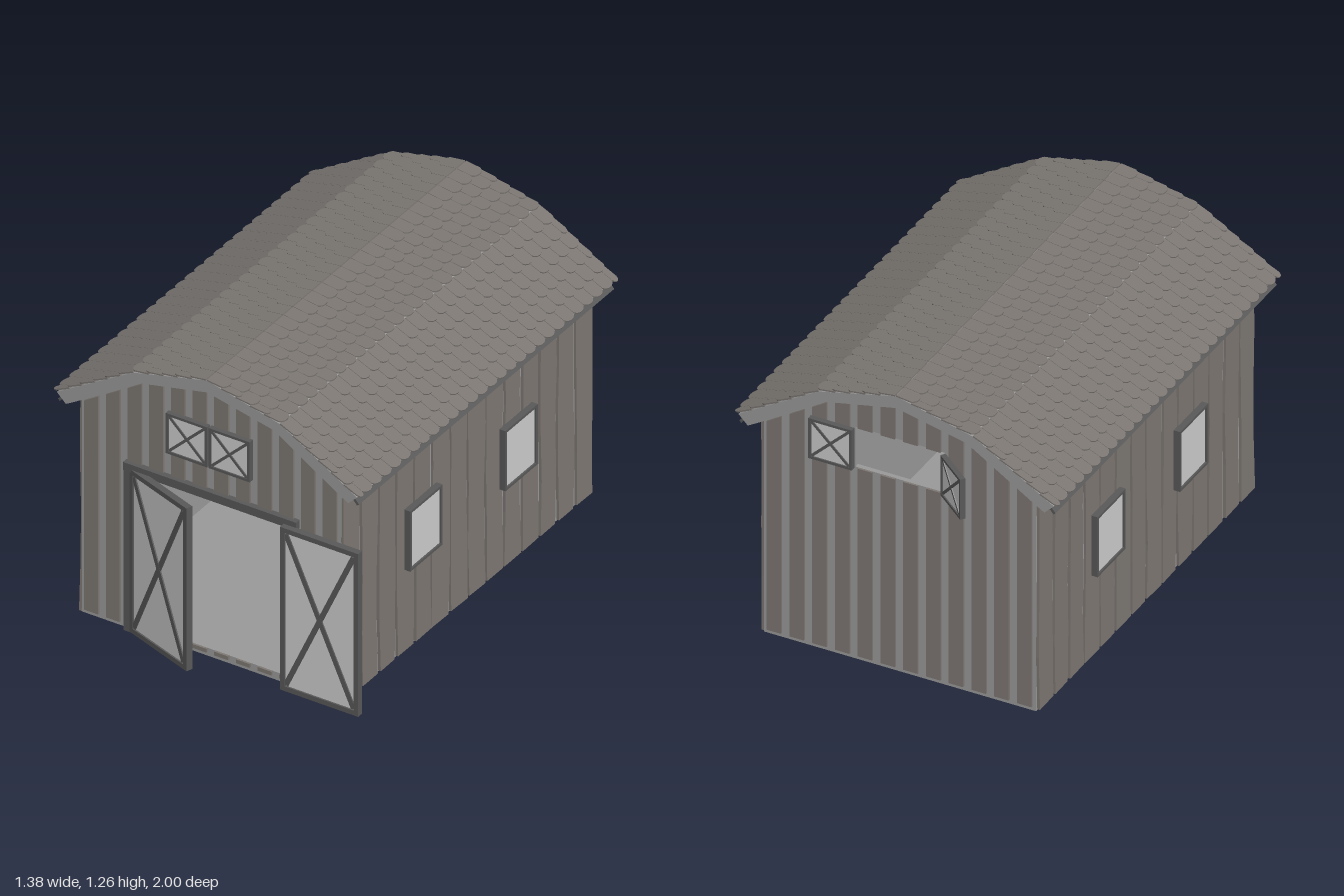
import * as THREE from 'three';
import { mergeGeometries } from 'three/addons/utils/BufferGeometryUtils.js';

const paint = (color) => new THREE.MeshStandardMaterial({ color });
const MAT = {
  wall: paint(0x999999), plank: paint(0x7d7772), trim: paint(0x585858),
  panel: paint(0xcccccc), shingle: paint(0x7a7571),
};

let seed = 7;
const rand = () => (seed = (seed * 16807) % 2147483647) / 2147483647;

function add(parent, name, geometry, material, x = 0, y = 0, z = 0) {
  const mesh = new THREE.Mesh(geometry, material);
  mesh.name = name;
  mesh.position.set(x, y, z);
  parent.add(mesh);
  return mesh;
}
const box = (w, h, d) => new THREE.BoxGeometry(w, h, d);
const polygon = (points) => new THREE.Shape(points.map(([x, y]) => new THREE.Vector2(x, y)));
const extrude = (shape, depth) =>
  new THREE.ExtrudeGeometry(shape, { depth, bevelEnabled: false, curveSegments: 6 });

function subgroup(parent, name) {
  const g = new THREE.Group();
  g.name = name;
  parent.add(g);
  return g;
}

// Underside height of the roof at a given x
function under(x) {
  const a = Math.abs(x);
  return a < 0.3 ? 1.205 - (a / 0.3) * 0.065 : 1.14 - ((a - 0.3) / 0.29) * 0.185;
}

// Framed panel, hinged on its left edge, with optional cross braces on both faces
function framedPanel(parent, name, w, h, t, bar, braced) {
  const g = subgroup(parent, name);
  add(g, 'panel', box(w - bar, h - bar, t * 0.5), MAT.panel, w / 2, h / 2);
  for (const x of [bar / 2, w - bar / 2]) add(g, 'stile', box(bar, h, t), MAT.trim, x, h / 2);
  for (const y of [bar / 2, h - bar / 2]) add(g, 'rail', box(w - 2 * bar, bar, t), MAT.trim, w / 2, y);
  if (braced) {
    const dx = w - 2 * bar, dy = h - 2 * bar;
    for (const s of [-1, 1]) {
      const brace = add(g, 'brace', box(Math.hypot(dx, dy) - bar * 0.6, bar, t * (s > 0 ? 0.86 : 0.9)),
        MAT.trim, w / 2, h / 2);
      brace.rotation.z = s * Math.atan2(dy, dx);
    }
  }
  return g;
}

// Gable wall facing +z, with a rectangular opening and raised planks
function gableWall(parent, name, hole) {
  const g = subgroup(parent, name);
  const shape = polygon([[-0.58, 0], [0.58, 0], [0.58, 0.97], [0.3, 1.15], [0, 1.215], [-0.3, 1.15], [-0.58, 0.97]]);
  const { hw, y0, y1 } = hole;
  shape.holes.push(new THREE.Path([[-hw, y0], [-hw, y1], [hw, y1], [hw, y0]].map((p) => new THREE.Vector2(...p))));
  add(g, 'wallCore', extrude(shape, 0.02), MAT.wall, 0, 0, 0.843);
  const planks = [];
  const strip = (x, bottom, top) => {
    const l = x - 0.031, r = x + 0.031;
    planks.push(extrude(polygon([[l, bottom], [r, bottom], [r, top ?? under(r) - 0.015], [l, top ?? under(l) - 0.015]]), 0.01));
  };
  for (let k = 0; k < 12; k++) {
    const x = (k - 5.5) * 0.097;
    if (Math.abs(x) < hw) {
      strip(x, 0.018, y0);
      strip(x, y1);
    } else strip(x, 0.018);
  }
  add(g, 'planks', mergeGeometries(planks), MAT.plank, 0, 0, 0.862);
  return g;
}

// Long wall facing local +z, with uneven planks and two windows
function sideWall(parent, name) {
  const g = subgroup(parent, name);
  add(g, 'wallCore', box(1.72, 0.965, 0.02), MAT.wall, 0, 0.4825, 0.57);
  const planks = [], pitch = 0.124;
  for (let i = 0; i < 14; i++) {
    const right = [], left = [];
    for (let j = 0; j <= 4; j++) {
      const y = 0.004 + j * 0.24;
      right.push([pitch / 2 - 0.001 - rand() * 0.014, y]);
      left.unshift([-pitch / 2 + 0.001 + rand() * 0.014, y]);
    }
    const plank = extrude(polygon([...right, ...left]), 0.012);
    plank.rotateY((rand() - 0.5) * 0.06);
    planks.push(plank.translate((i - 6.5) * pitch, 0, 0.579));
  }
  add(g, 'planks', mergeGeometries(planks), MAT.plank);
  for (const x of [-0.33, 0.33]) {
    framedPanel(g, 'window', 0.224, 0.27, 0.03, 0.011, false).position.set(x - 0.112, 0.37, 0.603);
  }
  return g;
}

// Rows of round-ended shingles on one slope running from a (upper) to b (lower)
function shingleSlope(parent, side, a, b, rows) {
  const cols = 27, w = 1.8 / cols, step = Math.hypot(b[0] - a[0], b[1] - a[1]) / (rows + 0.25);
  const len = step * 1.25, h = w * 0.485, curve = 0.018;
  const shape = new THREE.Shape();
  shape.moveTo(h, 0);
  shape.lineTo(-h, 0);
  shape.lineTo(-h, -len + curve);
  shape.quadraticCurveTo(-h * 0.7, -len, 0, -len);
  shape.quadraticCurveTo(h * 0.7, -len, h, -len + curve);
  const shingle = extrude(shape, 0.006).rotateX(-0.11);
  const parts = [];
  for (let r = 0; r < rows; r++) {
    const odd = r % 2;
    for (let c = 0; c < cols + odd; c++) {
      const half = odd && (c === 0 || c === cols);
      let x = (c - (cols - 1 + odd) / 2) * w;
      if (half) x -= Math.sign(x) * w / 4;
      parts.push(shingle.clone().scale(half ? 0.5 : 1, 1, 1).translate(x, -r * step, 0));
    }
  }
  const mesh = add(parent, 'shingles', mergeGeometries(parts), MAT.shingle, side * a[0], a[1], 0);
  const pitch = Math.atan2(a[1] - b[1], b[0] - a[0]);
  mesh.rotation.set(pitch - Math.PI / 2, side * Math.PI / 2, 0, 'YXZ');
}

export function createModel() {
  const barn = new THREE.Group();
  barn.name = 'barn';

  add(barn, 'floor', box(1.16, 0.03, 1.72), MAT.wall, 0, 0.016, 0);

  // Long walls
  for (const s of [-1, 1]) sideWall(barn, s > 0 ? 'leftWall' : 'rightWall').rotation.y = s * Math.PI / 2;

  // Front gable with door frame, doors and closed loft shutters
  const front = gableWall(barn, 'frontWall', { hw: 0.345, y0: 0.035, y1: 0.725 });
  add(front, 'lintel', box(0.775, 0.036, 0.045), MAT.trim, 0.007, 0.737, 0.866);
  add(front, 'doorPost', box(0.036, 0.72, 0.04), MAT.trim, -0.362, 0.36, 0.866);
  add(front, 'doorPost', box(0.036, 0.72, 0.04), MAT.trim, 0.362, 0.36, 0.866);
  const ajar = framedPanel(front, 'ajarDoor', 0.35, 0.73, 0.028, 0.021, true);
  ajar.position.set(-0.35, 0.002, 0.872);
  ajar.rotation.y = -0.335;
  framedPanel(front, 'openDoor', 0.35, 0.73, 0.028, 0.021, true).position.set(0.339, 0.002, 0.9);
  for (const x of [-0.188, 0.003]) {
    framedPanel(front, 'loftShutter', 0.185, 0.18, 0.022, 0.011, true).position.set(x, 0.864, 0.879);
  }

  // Back gable with open loft shutters
  const back = gableWall(barn, 'backWall', { hw: 0.19, y0: 0.864, y1: 1.044 });
  back.rotation.y = Math.PI;
  const swung = framedPanel(back, 'loftShutter', 0.185, 0.18, 0.022, 0.011, true);
  swung.position.set(0.19, 0.864, 0.876);
  swung.rotation.y = -0.67;
  framedPanel(back, 'loftShutter', 0.185, 0.18, 0.022, 0.011, true).position.set(-0.375, 0.864, 0.884);

  // Roof slab and shingles
  const roof = subgroup(barn, 'roof');
  const outer = [[0.672, 0.97], [0.33, 1.177], [0, 1.258]];
  const inner = [[0.3, 1.14], [0.59, 0.955], [0.632, 0.93]];
  const mirror = (pts) => pts.map(([x, y]) => [-x, y]).reverse();
  const section = [...outer, ...mirror(outer).slice(1), ...mirror(inner), [0, 1.205], ...inner];
  add(roof, 'roofSlab', extrude(polygon(section), 1.79), MAT.wall, 0, 0, -0.895);
  for (const s of [-1, 1]) {
    shingleSlope(roof, s, [0.002, 1.259], [0.338, 1.176], 5);
    shingleSlope(roof, s, [0.328, 1.179], [0.684, 0.964], 6);
    // Eave trim under the lowest row
    add(roof, 'eaveTrim', box(0.012, 0.055, 1.77), MAT.trim, s * 0.652, 0.951, 0).rotation.z = s * 0.7;
  }
  return barn;
}
